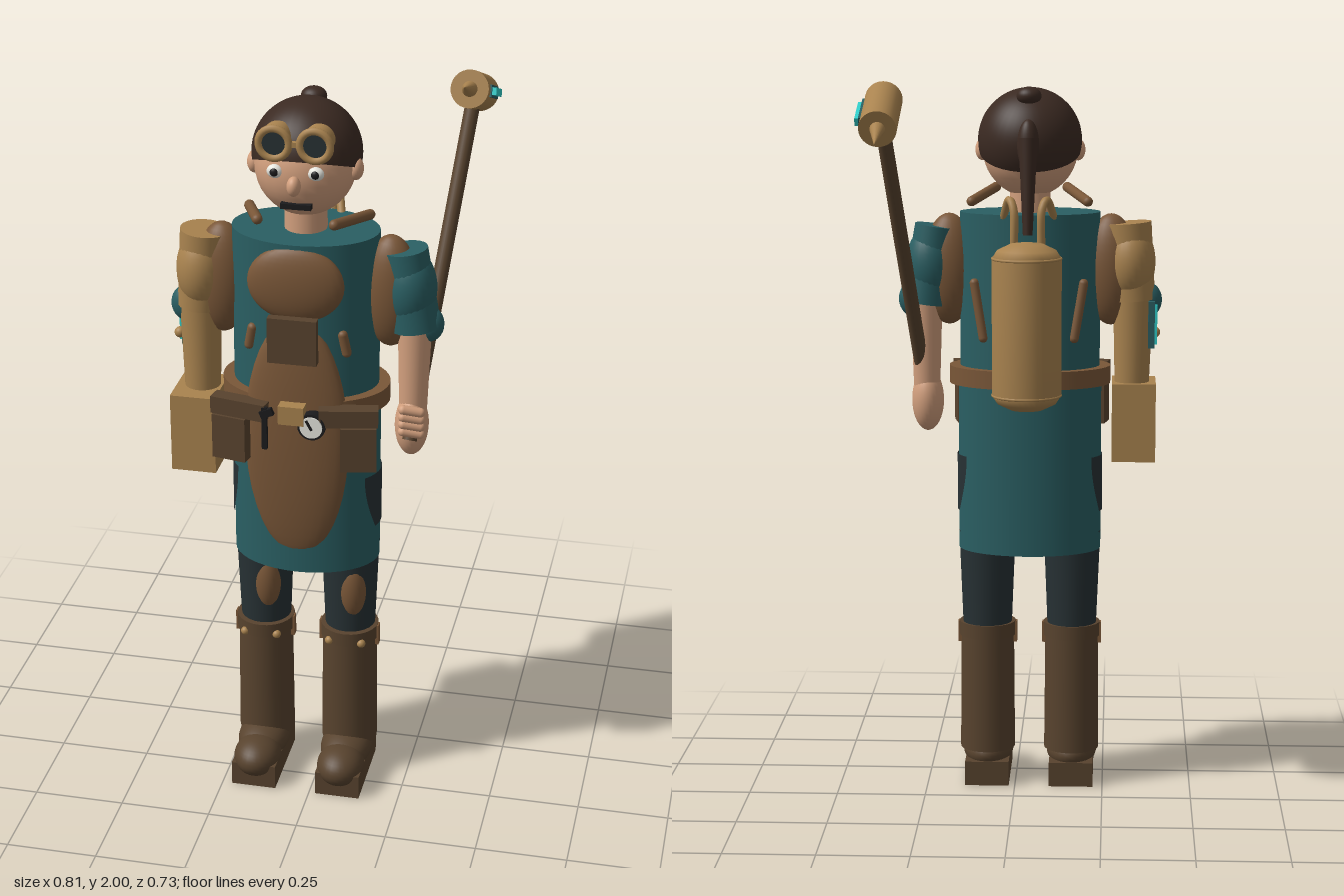
import * as THREE from 'three';

const mat = (name, color) => {
  const m = new THREE.MeshStandardMaterial({ color });
  m.name = name;
  return m;
};

export function createModel() {
  const teal = mat('teal cloth', 0x2a5f63), leather = mat('leather', 0x7a5738), darkLeather = mat('dark leather', 0x58432e);
  const brass = mat('brass', 0xa9834f), skin = mat('skin', 0xd3a07e), hairMat = mat('hair', 0x3b2a22);
  const charcoal = mat('charcoal', 0x273134), cyan = mat('cyan glow', 0x30d0cc);
  const white = mat('white', 0xe8e8e0), black = mat('black', 0x1b1b1d);
  charcoal.side = THREE.DoubleSide;
  hairMat.side = THREE.DoubleSide;

  const model = new THREE.Group();
  const V = (p) => new THREE.Vector3(...p);
  const put = (name, geo, m, p = [0, 0, 0], rot = [0, 0, 0], parent = model) => {
    const mesh = new THREE.Mesh(geo, m);
    mesh.name = name;
    mesh.position.set(...p);
    mesh.rotation.set(...rot);
    parent.add(mesh);
    return mesh;
  };
  const ball = (name, m, p, r) =>
    put(name, new THREE.SphereGeometry(1, 28, 20).scale(...r), m, p);
  const box = (name, m, p, s, rot) => put(name, new THREE.BoxGeometry(...s), m, p, rot);
  // straight part from a to b, with a radius at each end
  const rod = (name, m, a, b, ra, rb = ra, capsule = false) => {
    const d = V(b).sub(V(a)), len = d.length();
    const geo = capsule ? new THREE.CapsuleGeometry(ra, len, 6, 14) : new THREE.CylinderGeometry(rb, ra, len, 24);
    const mesh = put(name, geo, m, V(a).add(V(b)).multiplyScalar(0.5).toArray());
    mesh.quaternion.setFromUnitVectors(new THREE.Vector3(0, 1, 0), d.normalize());
    return mesh;
  };
  // elliptical column
  const column = (name, m, p, rx, rz, h) =>
    put(name, new THREE.CylinderGeometry(1, 1, h, 40).scale(rx, 1, rz), m, p);

  const cx = -0.04, cz = 0.16; // body axis

  // coat, belt and apron
  column('coatTop', teal, [cx, 1.42, cz], 0.195, 0.138, 0.44);
  column('coatSkirt', teal, [cx, 0.945, cz], 0.2, 0.14, 0.51);
  column('belt', leather, [cx, 1.187, cz], 0.225, 0.162, 0.05);
  ball('apronBib', leather, [cx, 1.53, 0.285], [0.128, 0.105, 0.037]);
  ball('apronSkirt', leather, [cx, 1.085, 0.285], [0.14, 0.35, 0.04]);
  box('bibPocket', darkLeather, [cx, 1.388, 0.325], [0.13, 0.125, 0.025]);

  // belt equipment
  box('buckle', brass, [cx, 1.185, 0.338], [0.068, 0.052, 0.035]);
  rod('gaugeRim', black, [0.013, 1.155, 0.31], [0.013, 1.155, 0.348], 0.037);
  rod('gaugeFace', white, [0.013, 1.155, 0.345], [0.013, 1.155, 0.352], 0.03);
  box('gaugeNeedle', black, [0.008, 1.163, 0.354], [0.006, 0.03, 0.005], [0, 0, 0.5]);
  box('toolShaft', black, [-0.112, 1.14, 0.345], [0.014, 0.12, 0.012]);
  box('toolHead', black, [-0.106, 1.185, 0.347], [0.035, 0.02, 0.014], [0, 0, 0.4]);

  for (const s of [-1, 1]) {
    const X = (d) => cx + s * d;
    box('beltRoll', darkLeather, [X(0.145), 1.18, 0.313], [0.155, 0.048, 0.042], [0, s * 0.2, 0]);
    box('beltPouch', darkLeather, [X(0.168), 1.09, 0.295], [0.095, 0.125, 0.07], [0, s * 0.2, 0]);
    // harness pieces and collar
    rod('frontStrap', leather, [X(0.13), 1.34, 0.265], [X(0.12), 1.39, 0.268], 0.013, 0.013, true);
    rod('backStrap', leather, [X(0.125), 1.3, 0.053], [X(0.15), 1.45, 0.066], 0.013, 0.013, true);
    rod('collar', leather, [X(0.16), 1.67, 0.12], [X(0.1), 1.698, 0.28], 0.014, 0.014, true);
    ball('shoulderGuard', leather, [X(0.225), 1.48, cz], [0.075, 0.155, 0.06]);
    ball('elbow', teal, [X(0.325), 1.395, cz], [0.042, 0.05, 0.032]);

    // curved side patch on the skirt, narrower at the bottom
    const patch = new THREE.CylinderGeometry(1, 1, 0.16, 14, 6, true, s * Math.PI / 2 - 0.55, 1.1);
    const pos = patch.attributes.position;
    for (let i = 0; i < pos.count; i++) {
      const t = (0.08 - pos.getY(i)) / 0.16;
      const a = Math.asin(pos.getZ(i)) * (1 - 0.5 * t * t);
      pos.setXYZ(i, s * Math.cos(a) * 0.204, pos.getY(i), Math.sin(a) * 0.144);
    }
    patch.computeVertexNormals();
    put('skirtPatch', patch, charcoal, [cx, 0.88, cz]);

    // legs and boots
    const lx = X(0.12);
    rod('trouserLeg', charcoal, [lx, 0.46, 0.157], [lx, 0.74, 0.157], 0.069, 0.08);
    ball('kneePatch', leather, [lx + 0.015, 0.6, 0.2], [0.04, 0.095, 0.04]);
    rod('bootShaft', darkLeather, [lx, 0.1, 0.163], [lx, 0.465, 0.163], 0.078, 0.075);
    rod('bootCuff', darkLeather, [lx, 0.432, 0.163], [lx, 0.472, 0.163], 0.08);
    for (const k of [-1, 1]) {
      box('bootTab', leather, [lx + k * 0.078, 0.44, 0.165], [0.012, 0.06, 0.022]);
      ball('bootStud', brass, [lx + k * 0.045, 0.44, 0.228], [0.012, 0.012, 0.012]);
    }
    box('bootSole', darkLeather, [lx, 0.035, 0.215], [0.125, 0.07, 0.25]);
    ball('bootToe', darkLeather, [lx, 0.073, 0.285], [0.066, 0.055, 0.08]);
    ball('bootInstep', darkLeather, [lx, 0.085, 0.2], [0.072, 0.055, 0.11]);

    // face details and goggles
    ball('ear', skin, [X(0.132), 1.81, 0.165], [0.02, 0.03, 0.027]);
    const ex = X(0.053);
    ball('eyeWhite', white, [ex, 1.83, 0.278], [0.021, 0.018, 0.014]);
    ball('pupil', black, [ex, 1.83, 0.288], [0.011, 0.011, 0.007]);
    rod('goggleCup', brass, [ex, 1.907, 0.23], [ex, 1.907, 0.286], 0.04);
    rod('goggleLens', charcoal, [ex, 1.907, 0.28], [ex, 1.907, 0.291], 0.034);
    put('goggleRim', new THREE.TorusGeometry(0.039, 0.01, 10, 28), brass, [ex, 1.907, 0.289]);

    // pipes from the tank over the shoulder
    const path = new THREE.CatmullRomCurve3([
      [X(0.038), 1.53, -0.03], [X(0.038), 1.66, -0.03], [X(0.05), 1.685, -0.01], [X(0.075), 1.61, 0.06],
    ].map(V));
    put('tankPipe', new THREE.TubeGeometry(path, 24, 0.011, 10), brass);
  }

  // head
  rod('neck', skin, [cx, 1.62, cz], [cx, 1.73, cz], 0.056);
  ball('head', skin, [cx, 1.815, cz], [0.132, 0.135, 0.13]);
  put('hair', new THREE.SphereGeometry(0.143, 36, 24, 0, Math.PI * 2, 0, 1.8), hairMat, [cx, 1.838, 0.142], [-0.38, 0, 0]);
  ball('hairKnot', hairMat, [cx, 1.96, 0.06], [0.034, 0.025, 0.03]);
  ball('ponytailRoot', hairMat, [cx, 1.83, 0.005], [0.03, 0.07, 0.03]);
  rod('ponytail', hairMat, [cx, 1.59, -0.028], [cx, 1.85, -0.005], 0.013, 0.026);
  ball('nose', skin, [cx, 1.8, 0.298], [0.018, 0.026, 0.022]);
  box('mouth', black, [cx, 1.738, 0.272], [0.08, 0.014, 0.02]);
  box('goggleBridge', brass, [cx, 1.907, 0.287], [0.03, 0.014, 0.012]);

  // back tank
  const tank = [[0, -0.23], [0.045, -0.224], [0.08, -0.207], [0.094, -0.185], [0.094, 0.185], [0.08, 0.207], [0.045, 0.224], [0, 0.23]];
  put('tank', new THREE.LatheGeometry(tank.map((p) => new THREE.Vector2(...p)), 36), brass, [cx, 1.35, -0.092]);
  for (const y of [1.165, 1.535])
    put('tankBand', new THREE.TorusGeometry(0.092, 0.004, 8, 36), brass, [cx, y, -0.092], [Math.PI / 2, 0, 0]);
  box('tankBracket', charcoal, [cx, 1.33, 0.005], [0.1, 0.06, 0.05]);

  // armoured arm on the model's right
  rod('upperArmPlate', brass, [-0.328, 1.395, cz], [-0.312, 1.61, cz], 0.06, 0.064);
  ball('armPlateBulge', brass, [-0.32, 1.5, cz], [0.068, 0.11, 0.078]);
  rod('armoredForearm', brass, [-0.325, 1.16, 0.165], [-0.327, 1.42, cz], 0.048, 0.056);
  box('heavyFist', brass, [-0.331, 1.055, 0.181], [0.122, 0.22, 0.157]);
  box('armLightFrame', teal, [-0.378, 1.33, 0.128], [0.018, 0.13, 0.032]);
  box('armLight', cyan, [-0.387, 1.33, 0.126], [0.014, 0.11, 0.02]);
  ball('armKnob', brass, [-0.388, 1.305, 0.155], [0.015, 0.015, 0.015]);

  // bare arm on the model's left
  rod('sleeve', teal, [0.252, 1.385, cz], [0.222, 1.6, cz], 0.066, 0.058);
  ball('sleeveBulge', teal, [0.237, 1.49, cz], [0.069, 0.11, 0.07]);
  rod('forearm', skin, [0.25, 1.15, 0.17], [0.25, 1.42, cz], 0.037, 0.046);
  ball('hand', skin, [0.248, 1.108, 0.175], [0.045, 0.088, 0.054]);
  for (let i = 0; i < 4; i++)
    rod('finger', skin, [0.235, 1.175 - i * 0.021, 0.235], [0.278, 1.165 - i * 0.021, 0.222], 0.013, 0.013, true);

  // hammer
  rod('hammerHandle', darkLeather, [0.25, 1.08, 0.218], [0.34, 1.915, -0.172], 0.02);
  const hammer = new THREE.Group();
  hammer.name = 'hammerHead';
  hammer.position.set(0.34, 1.922, -0.175);
  hammer.rotation.x = Math.PI / 2 - 0.36; // local y runs along the head
  model.add(hammer);
  put('hammerBarrel', new THREE.CylinderGeometry(0.05, 0.05, 0.2, 28), brass, [0, 0, 0], [0, 0, 0], hammer);
  for (const s of [-1, 1])
    put('hammerSpike', new THREE.ConeGeometry(0.021, 0.1, 18), brass, [0, s * 0.148, 0], [s < 0 ? Math.PI : 0, 0, 0], hammer);
  put('hammerLightFrame', new THREE.BoxGeometry(0.012, 0.13, 0.032), teal, [0.047, 0, 0], [0, 0, 0], hammer);
  put('hammerLight', new THREE.BoxGeometry(0.02, 0.11, 0.02), cyan, [0.054, 0, 0], [0, 0, 0], hammer);

  // gauge parts and similar rods facing +z keep their direction; centre the result
  return model;
}
